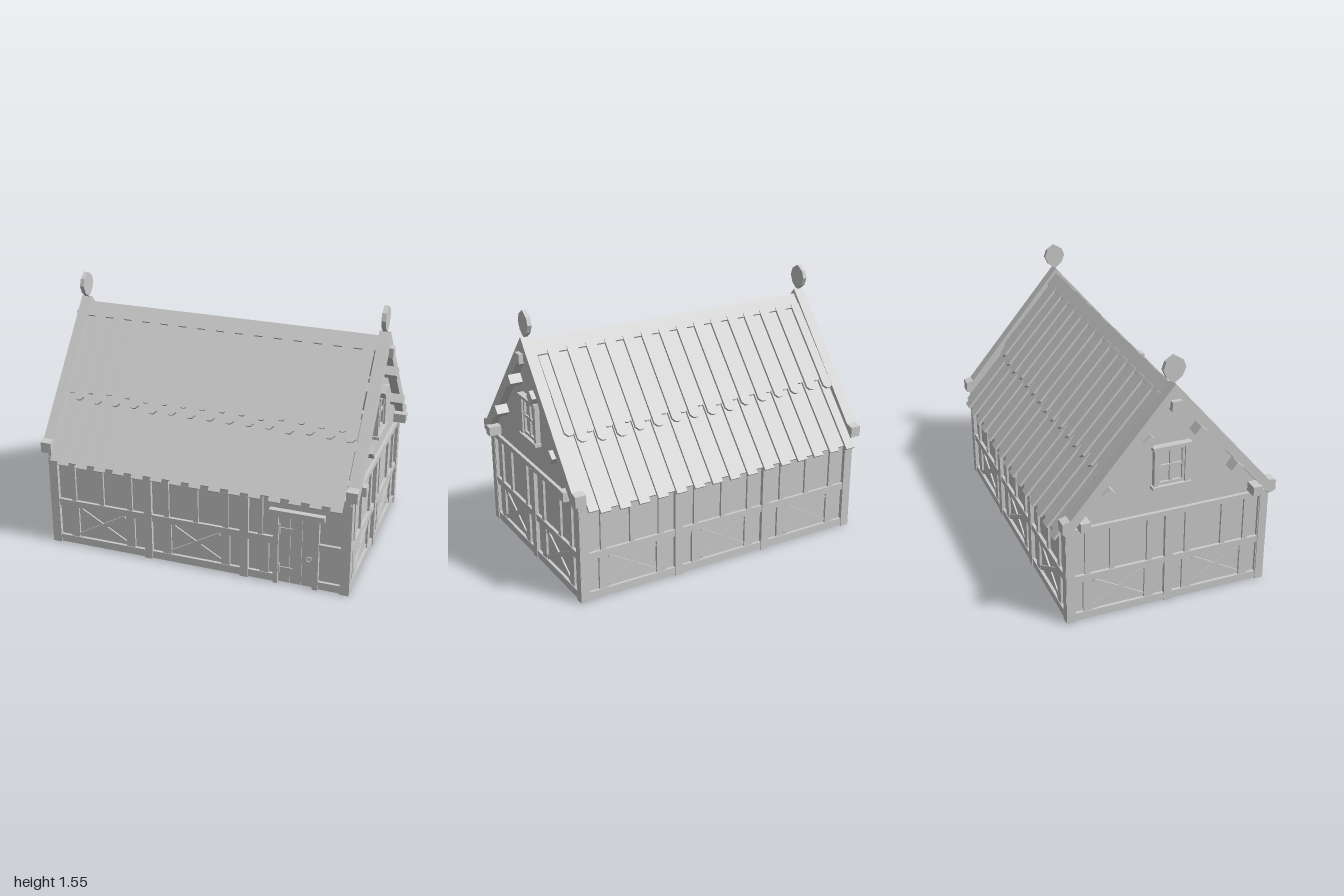
import * as THREE from 'three';

const mat = new THREE.MeshStandardMaterial({ color: 0xcccccc, flatShading: true });

function add(parent, name, geo, x = 0, y = 0, z = 0) {
  const m = new THREE.Mesh(geo, mat);
  m.name = name;
  m.position.set(x, y, z);
  parent.add(m);
  return m;
}

// box given by its limits
function box(parent, name, x0, x1, y0, y1, z0, z1) {
  return add(parent, name, new THREE.BoxGeometry(x1 - x0, y1 - y0, z1 - z0),
    (x0 + x1) / 2, (y0 + y1) / 2, (z0 + z1) / 2);
}

function extrude(points, depth) {
  const shape = new THREE.Shape(points.map(p => new THREE.Vector2(p[0], p[1])));
  return new THREE.ExtrudeGeometry(shape, { depth, bevelEnabled: false });
}

// mirror an open outline in its first coordinate
const mirrored = (pts) => [...pts, ...pts.filter(p => p[0] !== 0).map(p => [-p[0], p[1]]).reverse()];

function seeded(seed) {
  return () => ((seed = (seed * 16807) % 2147483647) / 2147483647);
}

// Wall space: x along the wall, outer face of the posts at z = 0
function bay(wall, cx, midOffset = 0) {
  for (const s of [-1, 1]) {
    const x = cx + s * 0.185;
    box(wall, 'lowerStud', x - 0.028, x + 0.028, 0.05, 0.26, -0.05, -0.008);
    box(wall, 'upperStud', x - 0.016, x + 0.016, 0.3, 0.58, -0.05, -0.008);
    const brace = add(wall, 'crossBrace', new THREE.BoxGeometry(0.35, 0.028, 0.036), cx, 0.155, -0.029 + s * 0.002);
    brace.rotation.z = s * Math.atan2(0.18, 0.31);
  }
  const m = cx + midOffset;
  box(wall, 'upperStud', m - 0.015, m + 0.015, 0.3, 0.58, -0.05, -0.008);
}

function wallFrame(name, half, posts, sillSpans) {
  const wall = new THREE.Group();
  wall.name = name;
  box(wall, 'wallPanel', -half + 0.02, half - 0.02, 0.01, 0.6, -0.04, -0.022);
  for (const [a, b] of sillSpans) {
    box(wall, 'sillBeam', a, b, 0.005, 0.053, -0.055, -0.004);
    box(wall, 'middleRail', a, b, 0.257, 0.3, -0.055, -0.004);
  }
  box(wall, 'topPlate', -half + 0.005, half - 0.005, 0.575, 0.608, -0.055, 0);
  for (const x of posts) box(wall, 'wallPost', x - 0.025, x + 0.025, 0, 0.58, -0.055, 0.001);
  return wall;
}

function addDoor(wall) {
  const door = new THREE.Group();
  door.name = 'door';
  for (const [a, b] of [[0.485, 0.513], [0.722, 0.755]])
    box(door, 'doorJamb', a, b, 0, 0.45, -0.055, 0.004);
  box(door, 'doorLintel', 0.457, 0.785, 0.45, 0.485, -0.055, 0.013);
  for (let i = 0; i < 3; i++)
    box(door, 'doorPlank', 0.513 + i * 0.07, 0.581 + i * 0.07, 0.006, 0.45, -0.05, -0.014);
  for (const y of [0.1, 0.36]) {
    box(door, 'hingeStrap', 0.52, 0.6, y - 0.008, y + 0.008, -0.02, -0.008);
    add(door, 'hingePin', new THREE.CylinderGeometry(0.006, 0.006, 0.06, 8), 0.518, y, -0.008);
  }
  const handle = add(door, 'doorHandle', new THREE.TorusGeometry(0.014, 0.004, 6, 14), 0.695, 0.19, -0.008);
  handle.rotation.y = 0.3;
  wall.add(door);
}

function addWindow(wall) {
  const win = new THREE.Group();
  win.name = 'window';
  box(win, 'windowPane', -0.1, 0.1, 0.78, 1.01, -0.03, -0.014);
  for (const s of [-1, 1]) box(win, 'windowJamb', s * 0.092 - 0.012, s * 0.092 + 0.012, 0.78, 1.01, -0.03, 0.01);
  box(win, 'windowHead', -0.115, 0.115, 1.01, 1.028, -0.03, 0.02);
  box(win, 'windowSill', -0.115, 0.115, 0.765, 0.783, -0.03, 0.02);
  for (const y of [0.79, 1.003]) box(win, 'sashRail', -0.08, 0.08, y - 0.01, y + 0.01, -0.03, 0);
  for (const s of [-1, 1]) box(win, 'sashStile', s * 0.074 - 0.008, s * 0.074 + 0.008, 0.79, 1, -0.03, 0);
  box(win, 'mullion', -0.008, 0.008, 0.79, 1, -0.03, -0.002);
  box(win, 'glazingBar', -0.075, 0.075, 0.888, 0.904, -0.03, -0.003);
  wall.add(win);
}

// Gable end: panel, rake boards, finial and purlin ends
function addGable(wall) {
  add(wall, 'gablePanel', extrude([[-0.61, 0.6], [0.61, 0.6], [0, 1.32]], 0.02), 0, 0, -0.04);
  const rake = mirrored([[0, 1.4], [0.6, 0.69], [0.645, 0.68], [0.645, 0.615], [0.6, 0.6], [0.595, 0.61]]);
  rake.splice(6, 0, [0, 1.305]);
  add(wall, 'rakeBoards', extrude(rake, 0.066), 0, 0, -0.035);
  const leaf = mirrored([[0, 1.395], [0.045, 1.43], [0.066, 1.478], [0.05, 1.522], [0, 1.553]]);
  // keep the outline in one turning direction
  const ordered = [...leaf.slice(0, 5), ...leaf.slice(5)];
  add(wall, 'finial', extrude(ordered, 0.026), 0, 0, -0.015);
  const purlins = [[0, 1.28, 0], [0.15, 1.092, 0.7], [0.383, 0.82, 0.7], [0.52, 0.645, 0]];
  for (const [x, y, turn] of purlins)
    for (const s of x ? [-1, 1] : [1]) {
      const p = add(wall, 'purlinEnd', new THREE.BoxGeometry(0.057, 0.057, 0.14), s * x, y, -0.013);
      p.rotation.z = -s * turn;
    }
}

// Roof slope: boards run down local -y, local +z is the slope normal
function roofSlope(name, coverStart, underStart, seed) {
  const slope = new THREE.Group();
  slope.name = name;
  const rnd = seeded(seed);
  const board = (part, x, w, s0, s1, lift, tip) => {
    const h = w / 2;
    const pts = tip
      ? [[-h, -s0], [-h, -s1 + tip], [-h * 0.45, -s1 + tip * 0.1], [0, -s1], [h * 0.45, -s1 + tip * 0.1], [h, -s1 + tip], [h, -s0]]
      : [[-h, -s0], [-h, -s1], [h, -s1], [h, -s0]];
    const m = add(slope, part, extrude(pts.reverse(), 0.016), x, 0, lift);
    m.rotation.x = -0.012;
  };
  const row = (start, width, isCover) => {
    for (let x = start; x < 0.9; x += 0.12) {
      const j = (rnd() - 0.5) * 0.02;
      const up = isCover ? 0.014 : 0;
      const w = Math.min(width, 2 * (0.925 - Math.abs(x)));
      board('lowerRoofBoard', x, w, 0.45, (isCover ? 1 : 0.975) + j * 0.4, up - 0.006, 0);
      board('upperRoofBoard', x, w, 0.02, (isCover ? 0.6 : 0.54) + j, up + 0.022, 0.022);
    }
  };
  row(coverStart, 0.066, true);
  row(underStart, 0.064, false);
  slope.position.y = 1.3;
  slope.rotation.x = -0.71;
  return slope;
}

export function createModel() {
  const house = new THREE.Group();
  house.name = 'timberHouse';

  // Long walls
  const posts = [-0.91, -0.3, 0.305, 0.913];
  const front = wallFrame('frontWall', 0.935, posts, [[-0.93, 0.487], [0.753, 0.93]]);
  bay(front, -0.603);
  bay(front, 0.003);
  box(front, 'lowerStud', 0.4, 0.455, 0.05, 0.26, -0.05, -0.008);
  box(front, 'upperStud', 0.385, 0.415, 0.3, 0.58, -0.05, -0.008);
  addDoor(front);
  front.position.z = 0.618;
  const back = wallFrame('backWall', 0.935, posts.map(x => -x), [[-0.93, 0.93]]);
  for (const x of [-0.606, 0, 0.606]) bay(back, x);
  back.position.z = -0.618;
  back.rotation.y = Math.PI;
  house.add(front, back);

  // End walls
  for (const s of [1, -1]) {
    const end = wallFrame(s > 0 ? 'leftEndWall' : 'rightEndWall', 0.618, [-0.593, 0, 0.593], [[-0.61, 0.61]]);
    for (const t of [-1, 1]) bay(end, t * 0.302, t * 0.04);
    addGable(end);
    addWindow(end);
    end.position.x = s * 0.94;
    end.rotation.y = s * Math.PI / 2;
    house.add(end);
  }

  // Roof
  const roof = new THREE.Group();
  roof.name = 'roof';
  roof.add(roofSlope('frontRoof', -0.82, -0.88, 11));
  const rear = new THREE.Group();
  rear.name = 'backRoofHolder';
  rear.rotation.y = Math.PI;
  rear.add(roofSlope('backRoof', -0.8, -0.86, 29));
  roof.add(rear);

  // Ridge cap
  const cap = mirrored([[0, 1.37], [0.063, 1.3], [0.045, 1.272]]);
  cap.splice(3, 0, [0, 1.325]);
  const ridge = add(roof, 'ridgeCap', extrude(cap, 1.82), -0.91, 0, 0);
  ridge.rotation.y = Math.PI / 2;
  house.add(roof);
  return house;
}
